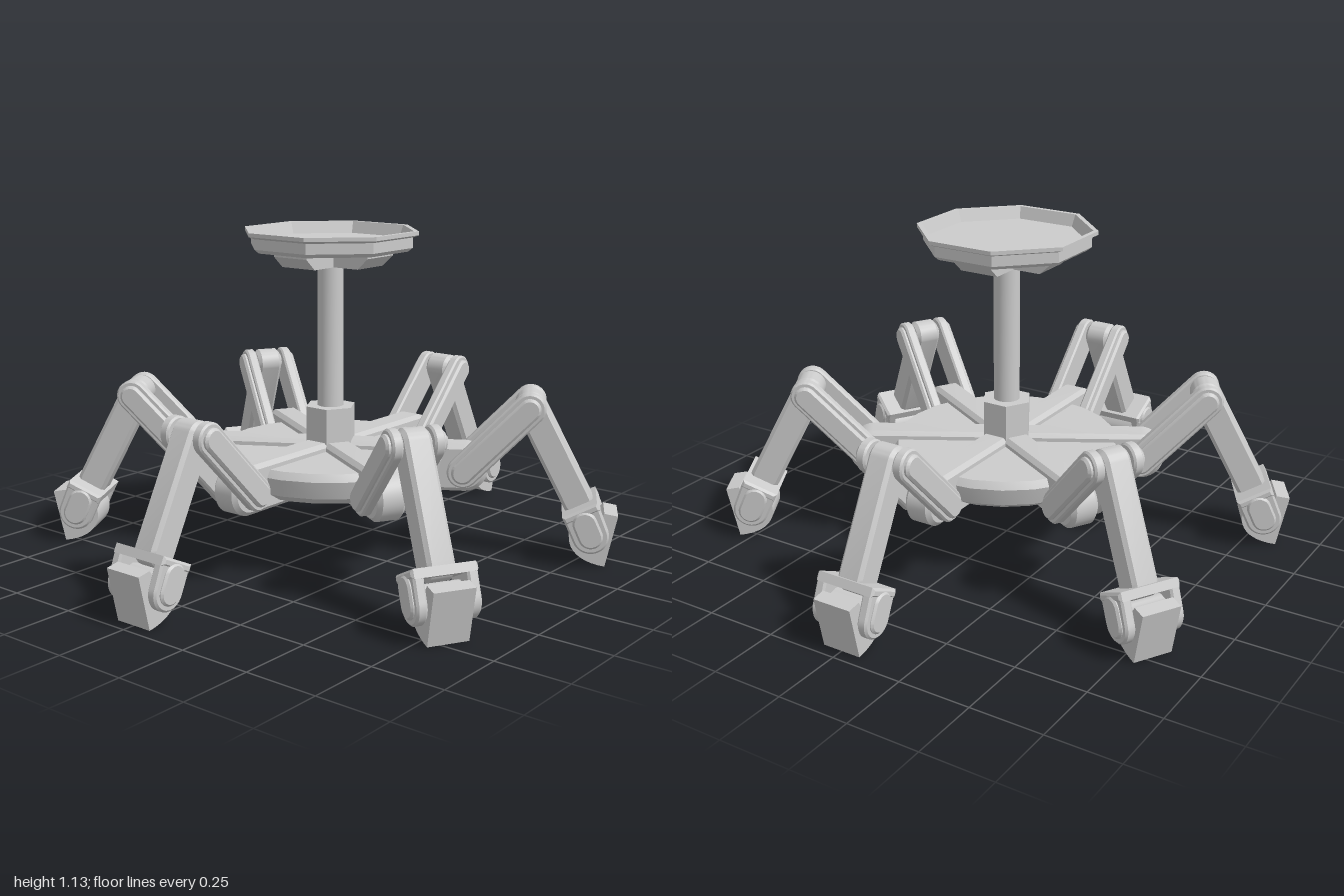
import * as THREE from 'three';
import { toCreasedNormals } from 'three/addons/utils/BufferGeometryUtils.js';

const material = new THREE.MeshStandardMaterial({ color: 0xcccccc, side: THREE.DoubleSide });

function part(name, geometry, crease = 0.6) {
  const mesh = new THREE.Mesh(toCreasedNormals(geometry, crease), material);
  mesh.name = name;
  return mesh;
}

// Extrudes a side profile drawn in (z, y) symmetrically about x = centre.
function sideExtrude(shape, centre, thickness, bevel) {
  const depth = thickness - 2 * bevel;
  const geometry = new THREE.ExtrudeGeometry(shape, {
    depth, bevelEnabled: bevel > 0, bevelThickness: bevel, bevelSize: bevel,
    bevelOffset: -bevel, bevelSegments: 1, curveSegments: 10,
  });
  geometry.translate(0, 0, -depth / 2);
  geometry.rotateY(-Math.PI / 2);
  return geometry.translate(centre, 0, 0);
}

// Round-ended bar between two joints [z, y].
function link(name, a, b, radius, centre, thickness, bevel) {
  const angle = Math.atan2(b[1] - a[1], b[0] - a[0]);
  const shape = new THREE.Shape();
  shape.absarc(a[0], a[1], radius, angle + Math.PI / 2, angle + Math.PI * 1.5, false);
  shape.absarc(b[0], b[1], radius, angle - Math.PI / 2, angle + Math.PI / 2, false);
  shape.closePath();
  return part(name, sideExtrude(shape, centre, thickness, bevel));
}

function pin(name, joint, radius, width) {
  const geometry = new THREE.CylinderGeometry(radius, radius, width, 20);
  geometry.rotateZ(Math.PI / 2).translate(0, joint[1], joint[0]);
  return part(name, geometry);
}

function createLeg() {
  const leg = new THREE.Group();
  leg.name = 'leg';
  const hip = [0.468, 0.315], knee = [0.69, 0.544], ankle = [0.905, 0.115], yoke = [0.872, 0.192];

  // Radial arm and the two plates of the upper link
  leg.add(link('radialArm', [0, 0.32], [0.47, 0.32], 0.082, 0, 0.1, 0.014));
  for (const side of [-1, 1]) {
    leg.add(link('upperPlate', hip, knee, 0.054, side * 0.07, 0.036, 0.006));
    leg.add(link('upperPlateRidge', hip, knee, 0.038, side * 0.09, 0.026, 0.008));
  }
  leg.add(pin('hipPin', hip, 0.03, 0.17), pin('kneePin', knee, 0.03, 0.17));

  // Lower beam
  leg.add(link('lowerBeam', knee, [0.86, 0.215], 0.052, 0, 0.092, 0.012));

  // Yoke: crossbar with a cheek on each side of the foot
  const tilt = Math.atan2(knee[1] - ankle[1], ankle[0] - knee[0]);
  const bar = part('yokeCrossbar', sideExtrude(new THREE.Shape([
    new THREE.Vector2(-0.064, -0.014), new THREE.Vector2(0.064, -0.014),
    new THREE.Vector2(0.064, 0.016), new THREE.Vector2(-0.064, 0.016),
  ]), 0, 0.22, 0.008));
  bar.position.set(0, yoke[1], yoke[0]);
  bar.rotation.x = -(Math.PI / 2 - tilt);
  leg.add(bar);
  const across = [Math.sin(tilt), Math.cos(tilt)];
  const corner = (s) => new THREE.Vector2(yoke[0] + s * 0.064 * across[0], yoke[1] + s * 0.064 * across[1]);
  for (const side of [-1, 1]) {
    const cheek = new THREE.Shape();
    cheek.moveTo(corner(1).x, corner(1).y);
    cheek.lineTo(corner(-1).x, corner(-1).y);
    const start = Math.PI / 2 - tilt + Math.PI;
    cheek.absarc(ankle[0], ankle[1], 0.062, start, start + Math.PI, false);
    cheek.closePath();
    leg.add(part('yokeCheek', sideExtrude(cheek, side * 0.088, 0.036, 0.007)));
    leg.add(link('yokeCheekRidge', [0.885, 0.16], ankle, 0.042, side * 0.106, 0.02, 0.007));
  }
  leg.add(pin('anklePin', ankle, 0.03, 0.19));

  // Hoof-like foot with a scooped top and a rounded heel
  const foot = new THREE.Shape();
  foot.moveTo(0.996, 0.18);
  foot.lineTo(0.957, 0);
  foot.bezierCurveTo(0.88, 0.01, 0.825, 0.05, 0.835, 0.115);
  foot.quadraticCurveTo(0.85, 0.165, 0.89, 0.168);
  foot.quadraticCurveTo(0.93, 0.15, 0.95, 0.188);
  foot.closePath();
  leg.add(part('foot', sideExtrude(foot, 0, 0.138, 0)));
  return leg;
}

// Turned part from [radius, y] points
function lathe(name, points, sides, crease = 0.4) {
  const profile = points.map(([r, y]) => new THREE.Vector2(r, y));
  return part(name, new THREE.LatheGeometry(profile, sides), crease);
}

export function createModel() {
  const model = new THREE.Group();
  model.name = 'sixLeggedStand';

  // Six legs, the first facing the front
  for (let i = 0; i < 6; i++) {
    const leg = createLeg();
    leg.rotation.y = (i * Math.PI) / 3;
    model.add(leg);
  }

  // Body disc and the boss beneath it
  model.add(lathe('bodyDisc', [[0, 0.262], [0.34, 0.262], [0.385, 0.29], [0.4, 0.35],
    [0.385, 0.375], [0.33, 0.375], [0, 0.375]], 24));
  model.add(lathe('bottomBoss', [[0, 0.19], [0.1, 0.19], [0.13, 0.212], [0.13, 0.235], [0.1, 0.25], [0, 0.25]], 24));

  // Hexagonal socket and column
  const socket = part('socket', new THREE.CylinderGeometry(0.09, 0.09, 0.16, 6), 0.2);
  socket.position.y = 0.44;
  socket.rotation.y = Math.PI / 6;
  model.add(socket);
  const column = part('column', new THREE.CylinderGeometry(0.045, 0.045, 0.56, 24));
  column.position.y = 0.76;
  model.add(column);

  // Octagonal tray with a lip and a recessed floor
  const k = 1 / Math.cos(Math.PI / 8);
  const tray = lathe('tray', [[0, 1.062], [0.25 * k, 1.062], [0.265 * k, 1.075], [0.265 * k, 1.11],
    [0.284 * k, 1.118], [0.284 * k, 1.131], [0.268 * k, 1.131], [0.254 * k, 1.09], [0, 1.09]], 8, 0.2);
  tray.rotation.y = Math.PI / 8;
  model.add(tray);

  // Crossed tapering braces below the tray
  const brace = new THREE.Shape([[-0.17, 1.012], [0.17, 1.012], [0.212, 1.05], [0.212, 1.064],
    [-0.212, 1.064], [-0.212, 1.05]].map(([x, y]) => new THREE.Vector2(x, y)));
  for (const turn of [0, Math.PI / 2]) {
    const mesh = part('trayBrace', sideExtrude(brace, 0, 0.14, 0), 0.2);
    mesh.rotation.y = turn;
    model.add(mesh);
  }
  return model;
}
